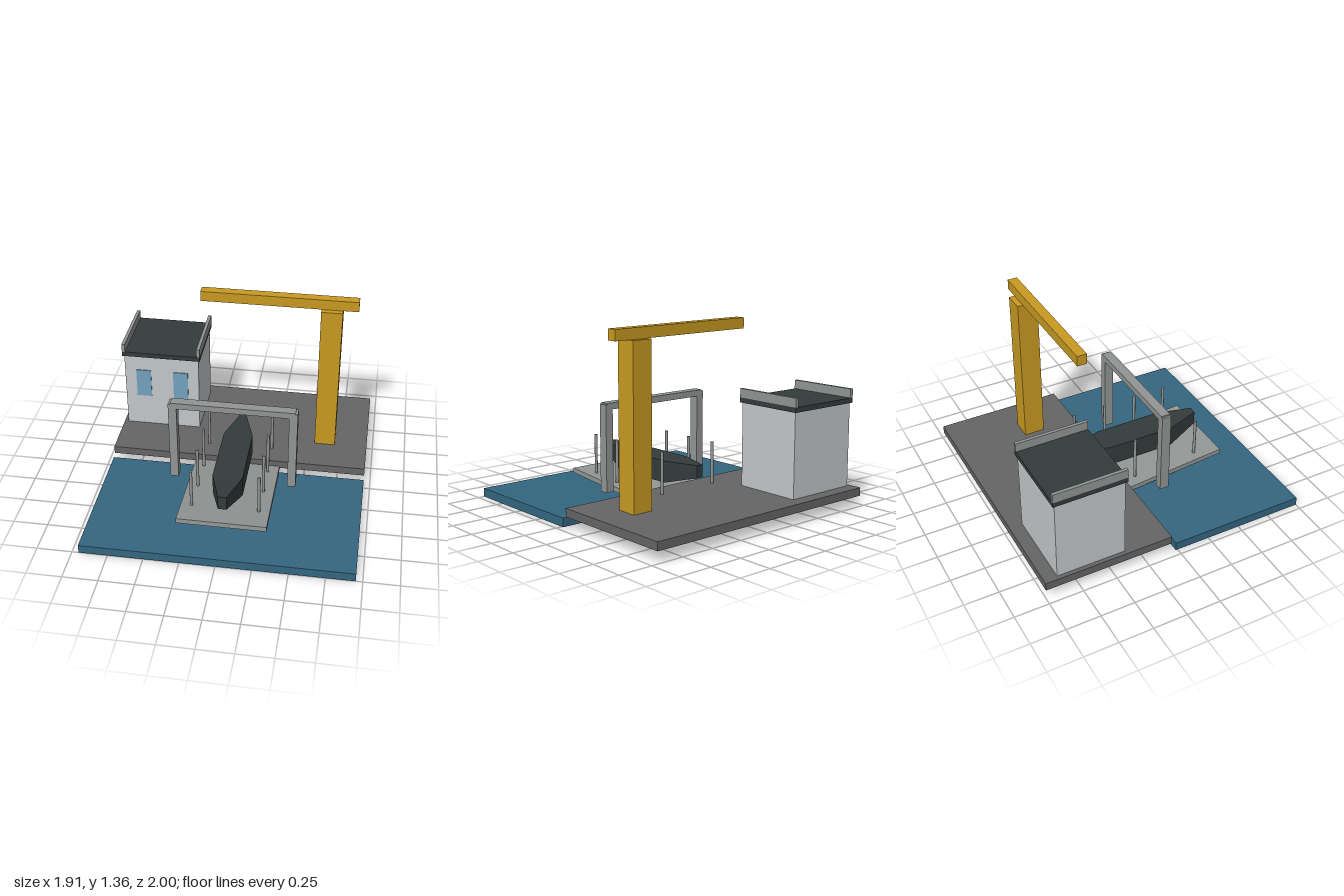
import * as THREE from 'three';

const mat = (name, color) => {
  const m = new THREE.MeshStandardMaterial({ color });
  m.name = name;
  return m;
};

// Hull from rectangular cross-sections [z, halfWidth, bottom, top], stern to bow
function hullGeometry(sections) {
  const rings = sections.map(([z, w, b, t]) => [[-w, b, z], [w, b, z], [w, t, z], [-w, t, z]]);
  const pos = [];
  const quad = (a, b, c, d) => [a, b, c, a, c, d].forEach((p) => pos.push(...p));
  for (let i = 0; i < rings.length - 1; i++) {
    for (let k = 0; k < 4; k++) {
      const n = (k + 1) % 4;
      quad(rings[i][k], rings[i][n], rings[i + 1][n], rings[i + 1][k]);
    }
  }
  quad(...rings[rings.length - 1]);
  quad(...rings[0].slice().reverse());
  const g = new THREE.BufferGeometry();
  g.setAttribute('position', new THREE.Float32BufferAttribute(pos, 3));
  g.computeVertexNormals();
  return g;
}

export function createModel() {
  const root = new THREE.Group();
  root.name = 'boatyard';

  const water = mat('water blue', 0x336680);
  const concrete = mat('quay grey', 0x656565);
  const wall = mat('wall light grey', 0xc4c8ca);
  const dark = mat('dark slate', 0x343b3b);
  const steel = mat('steel grey', 0x919593);
  const yellow = mat('crane yellow', 0xc89a22);
  const glass = mat('window blue', 0x74a2c0);

  const add = (parent, name, geometry, material) => {
    const m = new THREE.Mesh(geometry, material);
    m.name = name;
    parent.add(m);
    return m;
  };
  // Box given by its limits on each axis
  const box = (parent, name, material, [x0, x1], [y0, y1], [z0, z1]) => {
    const m = add(parent, name, new THREE.BoxGeometry(x1 - x0, y1 - y0, z1 - z0), material);
    m.position.set((x0 + x1) / 2, (y0 + y1) / 2, (z0 + z1) / 2);
    return m;
  };
  const group = (name) => {
    const g = new THREE.Group();
    g.name = name;
    root.add(g);
    return g;
  };

  // Water and quay
  box(root, 'water', water, [-0.953, 0.953], [0, 0.064], [-0.015, 1]);
  box(root, 'quay', concrete, [-0.953, 0.953], [0.08, 0.14], [-1, -0.05]);

  // Tilted slipway
  const slip = add(root, 'slipway', new THREE.BoxGeometry(0.636, 0.036, 1.14), steel);
  slip.position.set(0, 0.096, 0.173);
  slip.rotation.x = -0.09;

  // Guide poles along both sides of the slipway
  const poles = group('guidePoles');
  for (const x of [-0.24, 0.24]) {
    for (const z of [-0.205, 0.05, 0.302, 0.555]) {
      const p = add(poles, 'guidePole', new THREE.CylinderGeometry(0.011, 0.011, 0.33, 12), steel);
      p.position.set(x, 0.282, z);
    }
  }

  // Boat hull
  add(root, 'boat', hullGeometry([
    [-0.335, 0.025, 0.245, 0.335],
    [-0.08, 0.108, 0.176, 0.335],
    [0.43, 0.108, 0.176, 0.335],
    [0.68, 0.03, 0.24, 0.346],
  ]), dark);

  // Gantry over the slipway
  const gantry = group('gantry');
  for (const s of [-1, 1]) {
    const c = s * 0.432;
    box(gantry, 'gantryPost', steel, [c - 0.03, c + 0.03], [0.118, 0.754], [0.138, 0.208]);
  }
  box(gantry, 'gantryBeam', steel, [-0.446, 0.446], [0.717, 0.764], [0.138, 0.208]);

  // Yard house with roof, parapets and front windows
  const house = group('house');
  box(house, 'walls', wall, [-0.923, -0.352], [0.14, 0.752], [-0.904, -0.4]);
  box(house, 'roof', dark, [-0.936, -0.34], [0.751, 0.787], [-0.918, -0.386]);
  for (const x of [-0.936, -0.364]) {
    box(house, 'parapet', steel, [x, x + 0.024], [0.787, 0.852], [-0.918, -0.386]);
  }
  for (const x of [-0.779, -0.493]) {
    box(house, 'window', glass, [x - 0.057, x + 0.057], [0.4, 0.63], [-0.401, -0.394]);
  }

  // Crane
  const crane = group('crane');
  box(crane, 'craneTower', yellow, [0.556, 0.71], [0.14, 1.286], [-0.475, -0.321]);
  box(crane, 'craneBoom', yellow, [-0.318, 0.821], [1.286, 1.362], [-0.434, -0.362]);

  return root;
}
